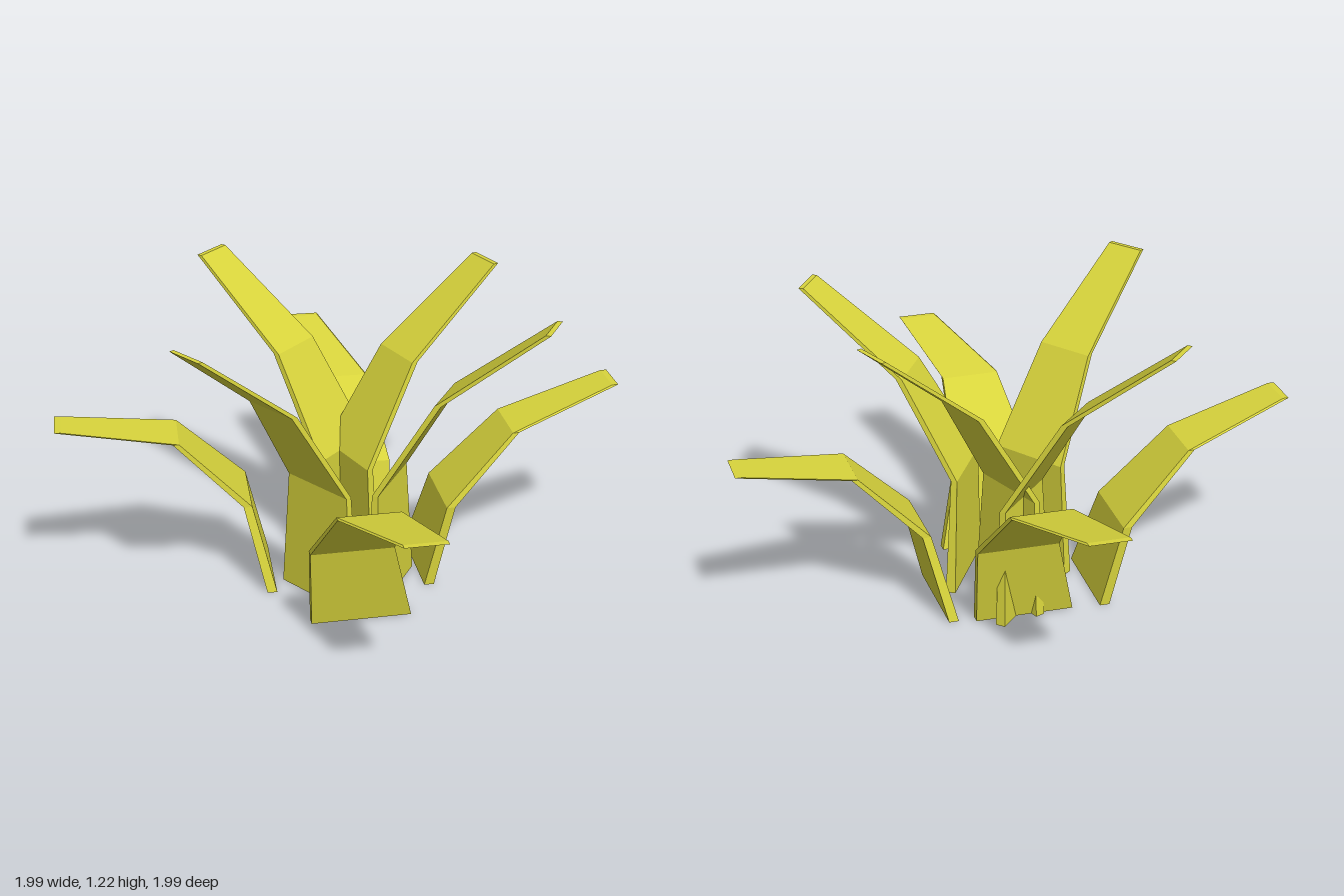
import * as THREE from 'three';

// Cross-sections from root to tip: [height, outward, sideways, half width, thickness]
const TALL = [
  [0, 0, 0, 0.2, 0.04],
  [0.49, 0, -0.005, 0.165, 0.025],
  [0.89, 0.235, -0.005, 0.12, 0.025],
  [1.22, 0.645, -0.005, 0.08, 0.02],
];
const SHORT = [
  [0, 0, 0, 0.2, 0.04],
  [0.35, 0.085, -0.05, 0.165, 0.035],
  [0.63, 0.365, -0.035, 0.122, 0.025],
  [0.74, 0.82, 0.07, 0.08, 0.025],
];

// Bent, tapering blade: four-cornered rings joined by flat faces
function bladeGeometry(profile) {
  const positions = [];
  const index = [];
  for (const [y, out, side, half, thick] of profile) {
    positions.push(
      side - half, y, out,
      side - half, y, out + thick,
      side + half, y, out + thick,
      side + half, y, out,
    );
  }
  for (let i = 0; i < profile.length - 1; i++) {
    for (let j = 0; j < 4; j++) {
      const a = i * 4 + j;
      const b = i * 4 + ((j + 1) % 4);
      index.push(a, b, b + 4, a, b + 4, a + 4);
    }
  }
  // root and tip caps
  const t = (profile.length - 1) * 4;
  index.push(0, 2, 1, 0, 3, 2, t, t + 1, t + 2, t, t + 2, t + 3);

  const indexed = new THREE.BufferGeometry();
  indexed.setAttribute('position', new THREE.Float32BufferAttribute(positions, 3));
  indexed.setIndex(index);
  const flat = indexed.toNonIndexed();
  flat.computeVertexNormals();
  return flat;
}

export function createModel() {
  const group = new THREE.Group();
  group.name = 'plant';
  const leafYellow = new THREE.MeshStandardMaterial({ color: 0xd8d43c });
  leafYellow.name = 'leafYellow';

  const tall = bladeGeometry(TALL);
  const short = bladeGeometry(SHORT);

  // Root position and heading in degrees (0 faces the front)
  const leaves = [
    ['frontTallLeaf', tall, 0, 0.227, -1.3],
    ['leftTallLeaf', tall, 0.143, 0.01, 113.2],
    ['backTallLeaf', tall, -0.125, -0.03, 165],
    ['rightTallLeaf', tall, -0.18, -0.07, -79.4],
    ['frontLeftShortLeaf', short, 0.22, 0.245, 55.3],
    ['frontRightShortLeaf', short, -0.3, 0.23, -37.6],
    ['backLeftShortLeaf', short, 0.081, -0.221, 145.2],
    ['backRightShortLeaf', short, -0.228, -0.11, -126.9],
  ];
  for (const [name, geometry, x, z, heading] of leaves) {
    const leaf = new THREE.Mesh(geometry, leafYellow);
    leaf.name = name;
    leaf.position.set(x, 0, z);
    leaf.rotation.y = THREE.MathUtils.degToRad(heading);
    group.add(leaf);
  }
  return group;
}
